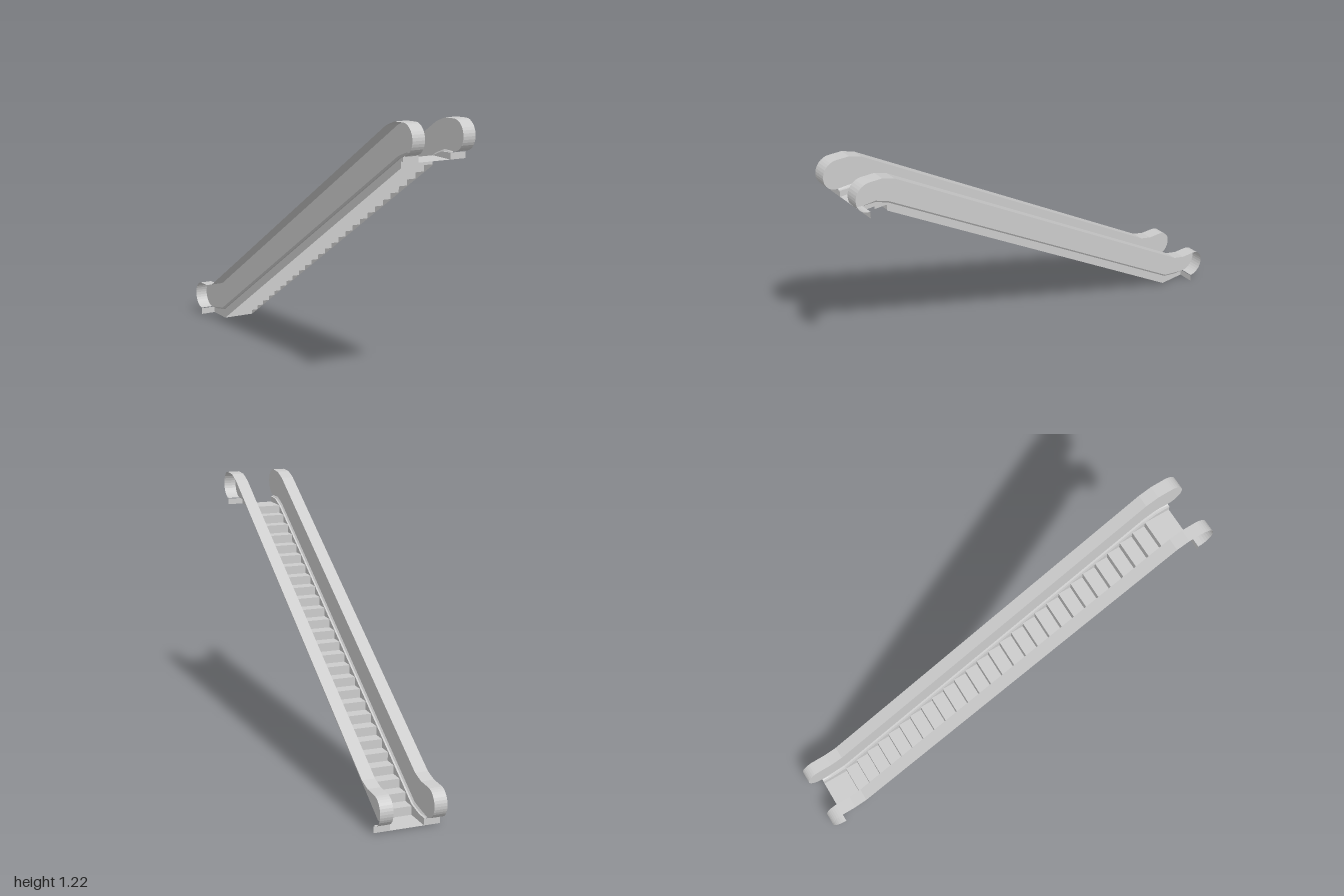
import * as THREE from 'three';
import { toCreasedNormals } from 'three/addons/utils/BufferGeometryUtils.js';

const material = new THREE.MeshStandardMaterial({ color: 0xcccccc, side: THREE.DoubleSide });

// Profiles are lists of [z, y]
const skirtTop = [[-0.935, 0.03], [-0.88, 0.033], [-0.81, 0.047], [0.81, 1.057], [0.87, 1.08], [0.935, 1.084]];
const railTop = [[-0.935, 0.166], [-0.87, 0.168], [-0.81, 0.185], [0.81, 1.195], [0.87, 1.217], [0.935, 1.22]];
const skirtBottom = [[-0.935, 0], [-0.81, 0], [0.81, 1.015], [0.81, 1.043], [0.87, 1.043], [0.87, 1.056], [0.935, 1.056]];
const reversed = (list) => [...list].reverse();

// The panel starts a little above the skirt; the gap closes at the ends
const panelBottom = skirtTop.map(([z, y]) => [z, y + (Math.abs(z) > 0.9 ? 0.004 : 0.009)]);

// Half-round end, running from the bottom of the balustrade to its top
function capArc(bottom, top, dir) {
  const r = (top[1] - bottom[1]) / 2;
  const pts = [];
  for (let i = 0; i <= 16; i++) {
    const a = -Math.PI / 2 + (Math.PI * i) / 16;
    pts.push([bottom[0] + dir * Math.cos(a) * 0.065, bottom[1] + r + r * Math.sin(a)]);
  }
  return pts;
}

function addMesh(group, name, geometry) {
  const mesh = new THREE.Mesh(geometry, material);
  mesh.name = name;
  group.add(mesh);
}

// Flat upright sheet with the given outline, at one x
function sheet(outline, x) {
  const shape = new THREE.Shape(outline.map(([z, y]) => new THREE.Vector2(z, y)));
  return new THREE.ShapeGeometry(shape).rotateY(-Math.PI / 2).translate(x, 0, 0);
}

// Strip between one profile at x0 and a matching profile at x1
function ribbon(path, x0, x1, path1 = path) {
  const pos = [];
  const index = [];
  path.forEach(([z, y], i) => {
    pos.push(x0, y, z, x1, path1[i][1], path1[i][0]);
    if (i > 0) {
      const a = 2 * i - 2;
      index.push(a, a + 1, a + 2, a + 1, a + 3, a + 2);
    }
  });
  const geometry = new THREE.BufferGeometry();
  geometry.setAttribute('position', new THREE.Float32BufferAttribute(pos, 3));
  geometry.setIndex(index);
  return toCreasedNormals(geometry, 0.15);
}

function createSide(s, name) {
  const side = new THREE.Group();
  side.name = name;
  const edge = 0.077 * s, bevel = 0.085 * s, panel = 0.091 * s, outer = 0.15 * s;
  const lowCap = capArc(panelBottom[0], railTop[0], -1);
  const highCap = capArc(panelBottom[5], railTop[5], 1);

  // Handrail band over the top and around both ends, open on its outer side
  addMesh(side, 'handrail', ribbon([...lowCap, ...railTop.slice(1, -1), ...reversed(highCap)], panel, outer));

  // Single panel with rounded ends
  const outline = [...panelBottom, ...highCap.slice(1), ...reversed(railTop).slice(1), ...reversed(lowCap).slice(1, -1)];
  addMesh(side, 'panel', sheet(outline, panel));

  // Skirt wall beside the steps, with a ledge and a bevel up to the panel
  addMesh(side, 'skirt', sheet([...skirtBottom, ...reversed(skirtTop)], edge));
  addMesh(side, 'ledge', ribbon(skirtTop, edge, bevel));
  addMesh(side, 'bevel', ribbon(skirtTop, bevel, panel, panelBottom));

  // Small upright plates under the rounded ends
  addMesh(side, 'lowEndPlate', ribbon([skirtBottom[0], skirtTop[0]], edge, outer));
  addMesh(side, 'highEndPlate', ribbon([skirtBottom[6], skirtTop[5]], edge, outer));
  return side;
}

export function createModel() {
  const model = new THREE.Group();
  model.name = 'escalator';
  model.add(createSide(1, 'leftBalustrade'), createSide(-1, 'rightBalustrade'));

  // Zigzag of risers and treads between the two landings
  const count = 26, run = 1.62 / count, rise = 1.019 / count;
  const stairs = [[-0.935, 0]];
  for (let k = 0; k < count; k++) {
    const z = -0.81 + k * run;
    stairs.push([z, k * rise], [z, (k + 1) * rise]);
  }
  stairs.push([0.81, 1.019], [0.81, 1.056], [0.935, 1.056]);
  addMesh(model, 'steps', ribbon(stairs, -0.077, 0.077));
  return model;
}
